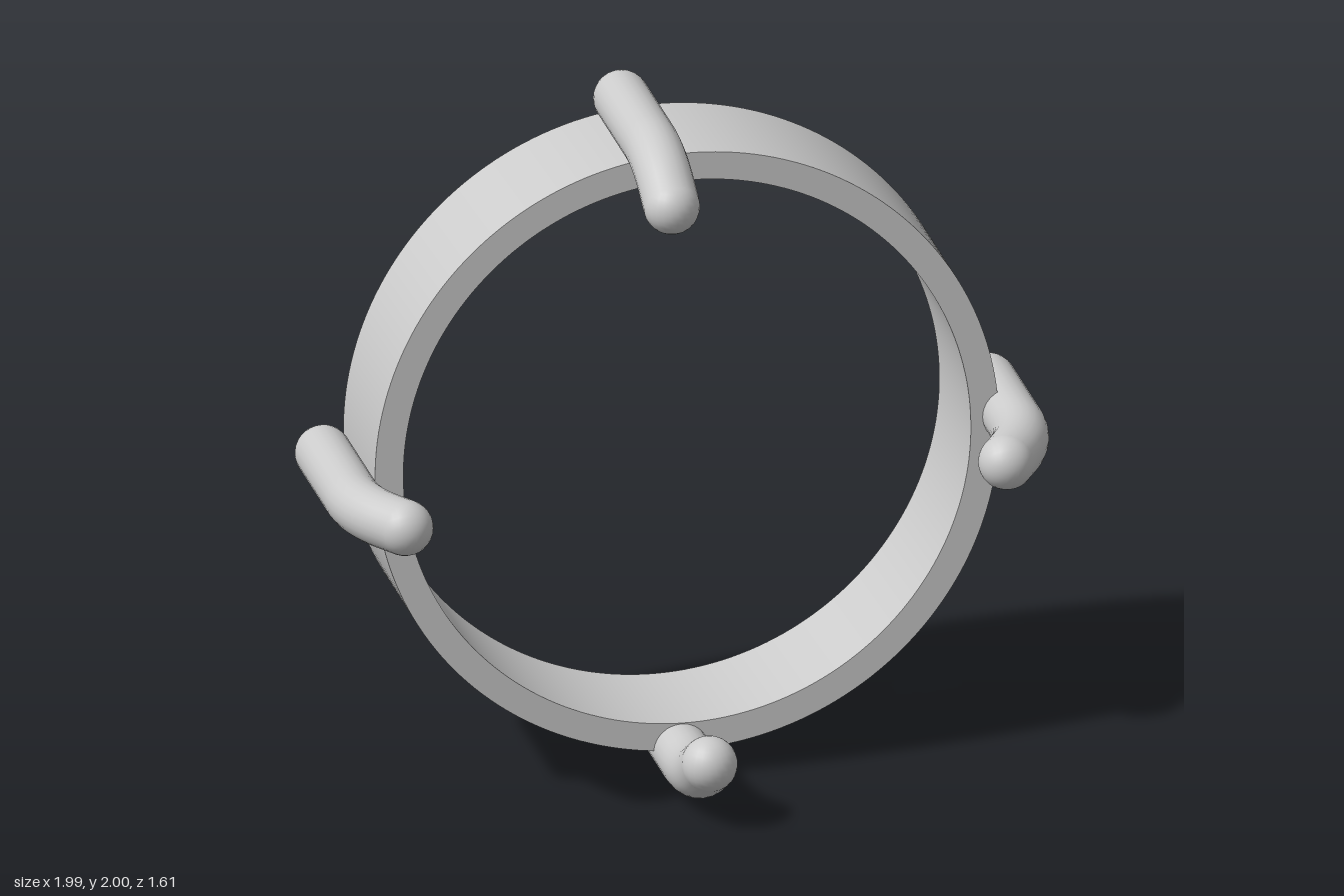
import * as THREE from 'three';
import { toCreasedNormals } from 'three/addons/utils/BufferGeometryUtils.js';

const OUTER = 0.88, INNER = 0.80, DEPTH = 0.38, ARM_RADIUS = 0.078;

export function createModel() {
  const material = new THREE.MeshStandardMaterial({ color: 0xcccccc });
  const model = new THREE.Group();
  model.name = 'ringWithArms';

  const add = (parent, name, geometry, position) => {
    const mesh = new THREE.Mesh(geometry, material);
    mesh.name = name;
    if (position) mesh.position.copy(position);
    parent.add(mesh);
  };

  // Everything is built around the ring's own axis, then turned as one
  const body = new THREE.Group();
  body.name = 'body';
  body.position.set(0.10, 0.965, -0.16);
  body.rotation.set(THREE.MathUtils.degToRad(-1.8), THREE.MathUtils.degToRad(-32), 0, 'YXZ');
  model.add(body);

  // Flat-edged ring
  const outline = new THREE.Shape().absarc(0, 0, OUTER, 0, Math.PI * 2, false);
  outline.holes.push(new THREE.Path().absarc(0, 0, INNER, 0, Math.PI * 2, true));
  const ring = new THREE.ExtrudeGeometry(outline, { depth: DEPTH, bevelEnabled: false, curveSegments: 96 });
  ring.translate(0, 0, -DEPTH / 2);
  add(body, 'ring', toCreasedNormals(ring, 0.5));

  // Arm path: straight along the axis, then a bend of 30 degrees inward (-y)
  const v = (y, z) => new THREE.Vector3(0, y, z);
  const points = [v(0, 0), v(0, 0.34), v(0, 0.447), v(-0.054, 0.54), v(-0.09, 0.60)];
  const path = new THREE.CurvePath();
  path.add(new THREE.LineCurve3(points[0], points[1]));
  path.add(new THREE.QuadraticBezierCurve3(points[1], points[2], points[3]));
  path.add(new THREE.LineCurve3(points[3], points[4]));
  const tube = new THREE.TubeGeometry(path, 40, ARM_RADIUS, 24, false);
  const cap = new THREE.SphereGeometry(ARM_RADIUS, 24, 16);

  // Four arms with round ends, each bending toward the axis
  const arms = [
    ['topArm', -0.117, 0.955, 0],
    ['rightArm', -0.965, -0.01, Math.PI / 2],
    ['bottomArm', -0.023, -0.88, Math.PI],
    ['leftArm', 0.911, 0.02, -Math.PI / 2],
  ];
  for (const [name, x, y, angle] of arms) {
    const arm = new THREE.Group();
    arm.name = name;
    arm.position.set(x, y, -0.07);
    arm.rotation.z = angle;
    add(arm, 'rod', tube);
    add(arm, 'backEnd', cap, points[0]);
    add(arm, 'frontEnd', cap, points[4]);
    body.add(arm);
  }
  return model;
}
